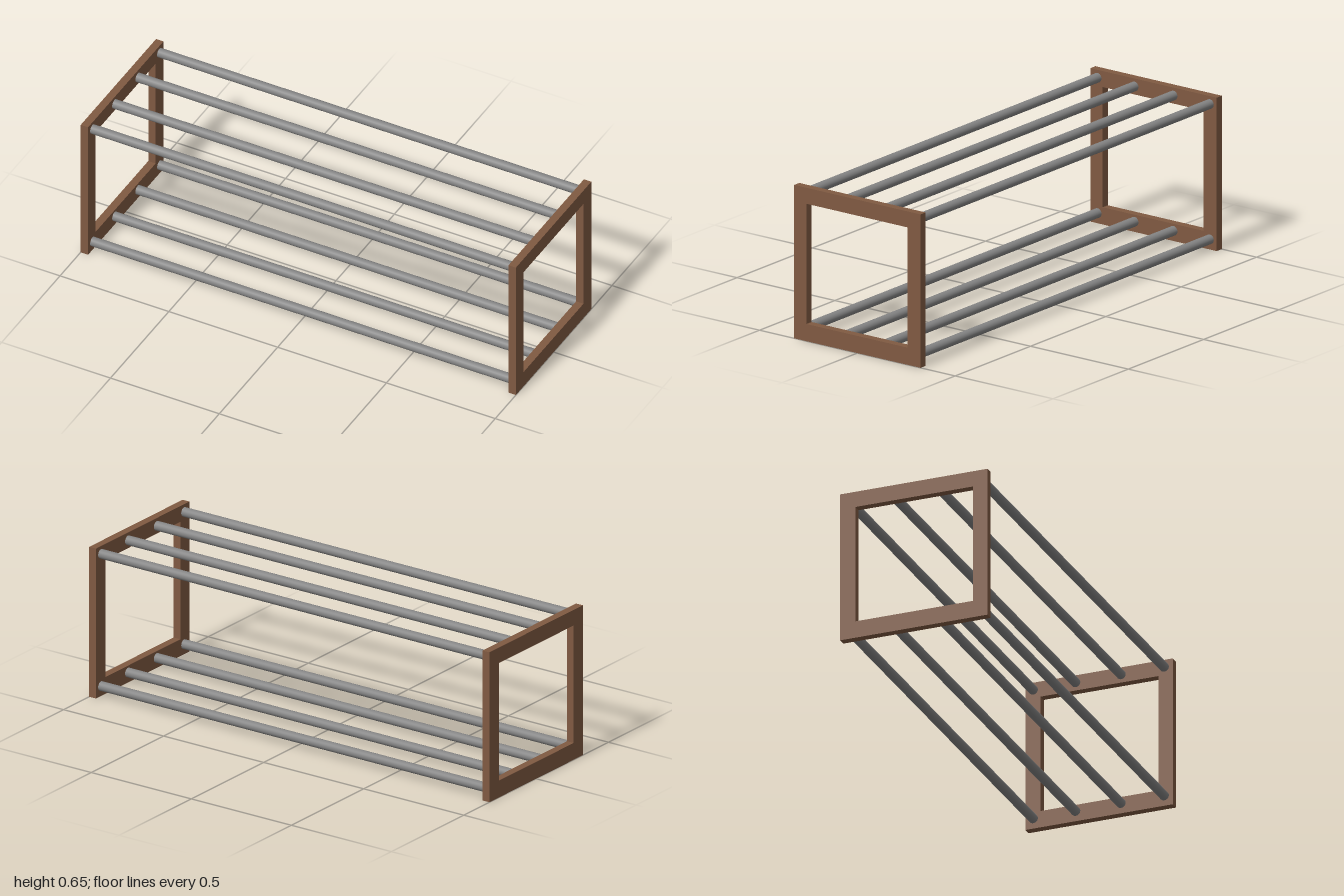
import * as THREE from 'three';

export function createModel() {
  const model = new THREE.Group();
  model.name = 'rack';

  const wood = new THREE.MeshStandardMaterial({ color: 0x805a42 });
  wood.name = 'brown wood';
  const metal = new THREE.MeshStandardMaterial({ color: 0x858585 });
  metal.name = 'grey metal';

  const thickness = 0.034;

  // Rectangular end frame, drawn with shape x along the model's z
  const outline = new THREE.Shape([
    new THREE.Vector2(-0.323, 0), new THREE.Vector2(0.323, 0),
    new THREE.Vector2(0.323, 0.652), new THREE.Vector2(-0.323, 0.652),
  ]);
  outline.holes.push(new THREE.Path([
    new THREE.Vector2(-0.256, 0.073), new THREE.Vector2(-0.256, 0.584),
    new THREE.Vector2(0.26, 0.584), new THREE.Vector2(0.26, 0.073),
  ]));
  const frameGeometry = new THREE.ExtrudeGeometry(outline, { depth: thickness, bevelEnabled: false });
  frameGeometry.translate(0, 0, -thickness / 2);
  frameGeometry.rotateY(-Math.PI / 2);

  for (const side of [-1, 1]) {
    const frame = new THREE.Mesh(frameGeometry, wood);
    frame.name = side > 0 ? 'leftEndFrame' : 'rightEndFrame';
    frame.position.x = side * (1 - thickness / 2);
    model.add(frame);
  }

  // Two shelves of four round rods between the frames
  const rodGeometry = new THREE.CylinderGeometry(0.02, 0.02, 2 - 2 * thickness, 24);
  rodGeometry.rotateZ(Math.PI / 2);

  for (const [shelfName, y] of [['lowerShelf', 0.044], ['upperShelf', 0.619]]) {
    const shelf = new THREE.Group();
    shelf.name = shelfName;
    shelf.position.y = y;
    [-0.288, -0.102, 0.097, 0.286].forEach((z, i) => {
      const rod = new THREE.Mesh(rodGeometry, metal);
      rod.name = `rod${i + 1}`;
      rod.position.z = z;
      shelf.add(rod);
    });
    model.add(shelf);
  }

  return model;
}
